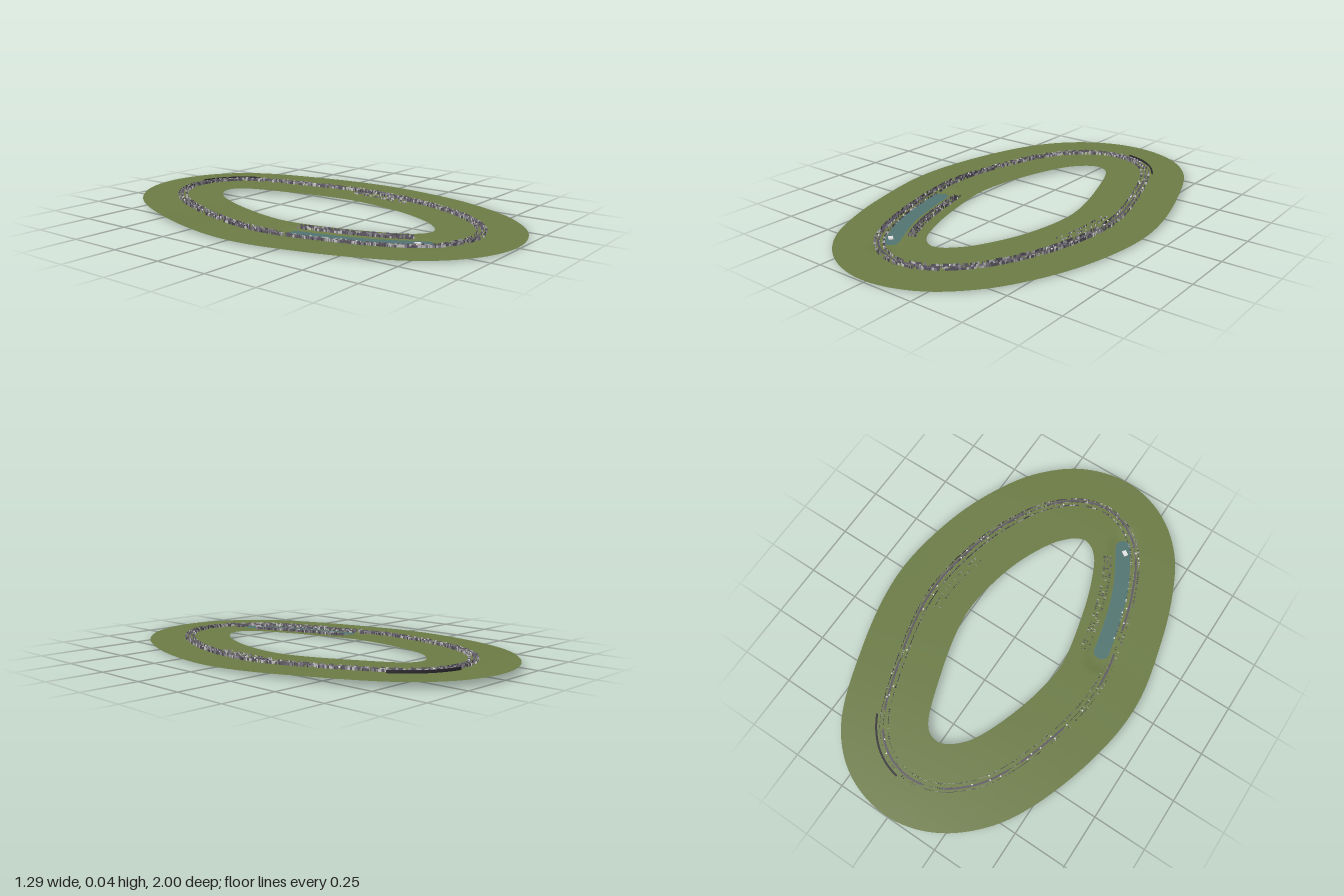
import * as THREE from 'three';
import { mergeGeometries } from 'three/addons/utils/BufferGeometryUtils.js';

const mat = (name, color) => {
  const m = new THREE.MeshStandardMaterial({ color, side: THREE.DoubleSide });
  m.name = name;
  return m;
};

const curveOf = (pts, closed) =>
  new THREE.CatmullRomCurve3(pts.map(([x, z]) => new THREE.Vector3(x, 0, z)), closed);

// Centre line of the circuit and of the pond
const loop = curveOf([
  [0.01, -0.805], [0.15, -0.77], [0.255, -0.672], [0.37, -0.39], [0.438, -0.13], [0.45, 0.05],
  [0.4, 0.34], [0.315, 0.55], [0.24, 0.665], [0.125, 0.765], [-0.015, 0.803], [-0.145, 0.765],
  [-0.25, 0.67], [-0.335, 0.5], [-0.4, 0.29], [-0.45, 0.02], [-0.425, -0.22], [-0.33, -0.52],
  [-0.245, -0.665], [-0.12, -0.77],
], true);
const pond = curveOf([[-0.385, 0.125], [-0.345, 0.3], [-0.285, 0.485], [-0.165, 0.71]], false);
const pondSamples = pond.getSpacedPoints(30);
const loopSamples = loop.getSpacedPoints(400);

const wrap = (u) => ((u % 1) + 1) % 1;

// Point at fraction u round the loop, moved outward by s
function at(u, s) {
  const p = loop.getPointAt(wrap(u));
  const t = loop.getPointAt(wrap(u + 0.018)).sub(loop.getPointAt(wrap(u - 0.018))).normalize();
  return new THREE.Vector3(p.x + t.z * s, 0, p.z - t.x * s);
}

// Fraction round the loop nearest to a ground position
function uAt(x, z) {
  let best = 0, dist = 9;
  loopSamples.forEach((p, i) => {
    const d = Math.hypot(p.x - x, p.z - z);
    if (d < dist) { dist = d; best = i / 400; }
  });
  return best;
}

// Ground rises to the back and sinks under the pond
function ground(x, z) {
  const rise = 0.006 + 0.022 * THREE.MathUtils.smoothstep(-z, -0.25, 0.95);
  const d = Math.min(...pondSamples.map((p) => Math.hypot(p.x - x, p.z - z)));
  return rise - 0.006 * (1 - THREE.MathUtils.smoothstep(d, 0.035, 0.07));
}

// Grid surface from a rule giving a point for (u, v)
function sheet(rule, nu, nv) {
  const pos = [], index = [];
  for (let i = 0; i <= nu; i++) {
    for (let j = 0; j <= nv; j++) {
      const p = rule(i / nu, j / nv);
      pos.push(p.x, p.y, p.z);
      if (i < nu && j < nv) {
        const a = i * (nv + 1) + j, b = a + nv + 1;
        index.push(a, b, a + 1, b, b + 1, a + 1);
      }
    }
  }
  const g = new THREE.BufferGeometry();
  g.setAttribute('position', new THREE.Float32BufferAttribute(pos, 3));
  g.setIndex(index);
  g.computeVertexNormals();
  return g;
}

// Flat ribbon following the loop
const ribbon = (u0, u1, s, width, lift) => sheet((u, v) => {
  const p = at(u0 + (u1 - u0) * u, s + (v - 0.5) * width);
  p.y = ground(p.x, p.z) + lift;
  return p;
}, Math.max(4, Math.ceil((u1 - u0) * 160)), 1);

export function createModel() {
  const model = new THREE.Group();
  const grass = mat('grass green', 0x6d7d46);
  const water = mat('pond blue', 0x527672);
  const dark = mat('purple grey', 0x5e5864);
  const mid = mat('mid grey', 0x85818a);
  const light = mat('light grey', 0xc2c2c2);
  const white = mat('white', 0xf0f0f0);
  const black = mat('black', 0x2a282e);
  const add = (name, geometry, material) => {
    const m = new THREE.Mesh(geometry, material);
    m.name = name;
    model.add(m);
  };

  let seed = 7;
  const rnd = () => (seed = (seed * 16807) % 2147483647) / 2147483647;

  // Ring of land
  add('land', sheet((u, v) => {
    const p = at(u, (v - 0.5) * 0.39);
    p.y = ground(p.x, p.z);
    return p;
  }, 180, 18), grass);

  // Pond with rounded ends
  add('pond', sheet((u, v) => {
    const p = pond.getPointAt(u), t = pond.getTangentAt(u);
    const end = Math.min(1, Math.min(u, 1 - u) / 0.06);
    const w = 0.036 * Math.sqrt(1 - (1 - end) ** 2) * (2 * v - 1);
    return new THREE.Vector3(p.x + t.z * w, 0.004, p.z - t.x * w);
  }, 60, 2), water);

  // Upright panels in rows along the circuit
  const darkPanels = [], midPanels = [], lightPanels = [], whiteTops = [];
  function panel(u, s, length, height, turn) {
    const p = at(u, s), q = at(u + 0.002, s);
    const g = new THREE.PlaneGeometry(length, height);
    g.rotateY(turn - Math.atan2(q.z - p.z, q.x - p.x));
    g.translate(p.x, ground(p.x, p.z) + height / 2, p.z);
    return g;
  }
  const pick = (lightShare) => {
    const r = rnd();
    if (r < lightShare) return lightPanels;
    return r < lightShare + 0.25 ? midPanels : darkPanels;
  };
  function row(u0, u1, s, fill, lightShare, height) {
    const n = Math.round((u1 - u0) * 400);
    for (let i = 0; i < n; i++) {
      const u = u0 + ((u1 - u0) * (i + 0.5)) / n;
      if (rnd() > fill) continue;
      pick(lightShare).push(panel(u, s, 0.0105, height * (0.75 + 0.35 * rnd()), 0));
      // Cross panel
      if (rnd() < 0.5) pick(lightShare).push(panel(u, s, 0.01, height * 0.85, Math.PI / 2));
    }
  }
  for (const s of [-0.016, 0.004, 0.02]) row(0, 1, s, 0.85, 0.32, 0.013);

  // Inner rows beside the pond
  const p0 = uAt(-0.25, 0.68), p1 = uAt(-0.44, 0.14);
  for (const s of [-0.115, -0.13, -0.145]) row(p0, p1, s, 0.85, 0.22, 0.013);

  // Short inner rows on the left side
  const l0 = uAt(0.44, -0.1), l1 = uAt(0.43, 0.25);
  for (const s of [-0.045, -0.07]) row(l0, l1, s, 0.5, 0.6, 0.008);

  // Wall caps, broken by gaps
  const caps = [
    [[-0.05, -0.8], [0.24, -0.7]], [[0.29, -0.62], [0.37, -0.4]], [[0.385, -0.34], [0.4, 0.36]],
    [[0.39, 0.38], [0.31, 0.56]], [[0.24, 0.66], [-0.23, 0.7]], [[-0.26, 0.65], [-0.4, 0.3]],
    [[-0.43, 0.18], [-0.45, 0.01]], [[-0.43, -0.25], [-0.35, -0.48]], [[-0.32, -0.54], [-0.13, -0.77]],
  ].map(([a, b]) => {
    const u0 = uAt(...a), u1 = uAt(...b);
    return ribbon(u0, u1 < u0 ? u1 + 1 : u1, 0.006, 0.009, 0.011);
  });
  add('wallCaps', mergeGeometries(caps), dark);

  // Dark stand outside the back bend
  const b0 = uAt(0.06, -0.81), b1 = uAt(0.27, -0.64);
  add('backStand', ribbon(b0, b1, 0.036, 0.009, 0.012), black);
  add('backStandWall', sheet((u, v) => {
    const p = at(b0 + (b1 - b0) * u, 0.04);
    p.y = ground(p.x, p.z) + 0.012 * v;
    return p;
  }, 20, 1), black);

  // Small white markers and the float on the pond
  for (let i = 0; i < 36; i++) {
    const p = at(rnd(), (rnd() - 0.5) * 0.04);
    whiteTops.push(new THREE.BoxGeometry(0.006, 0.006, 0.006)
      .translate(p.x, ground(p.x, p.z) + 0.01, p.z));
  }
  whiteTops.push(new THREE.BoxGeometry(0.028, 0.006, 0.02).rotateY(-0.6).translate(-0.207, 0.007, 0.655));
  add('darkPanels', mergeGeometries(darkPanels), dark);
  add('midPanels', mergeGeometries(midPanels), mid);
  add('lightPanels', mergeGeometries(lightPanels), light);
  add('whiteMarkers', mergeGeometries(whiteTops), white);
  return model;
}
